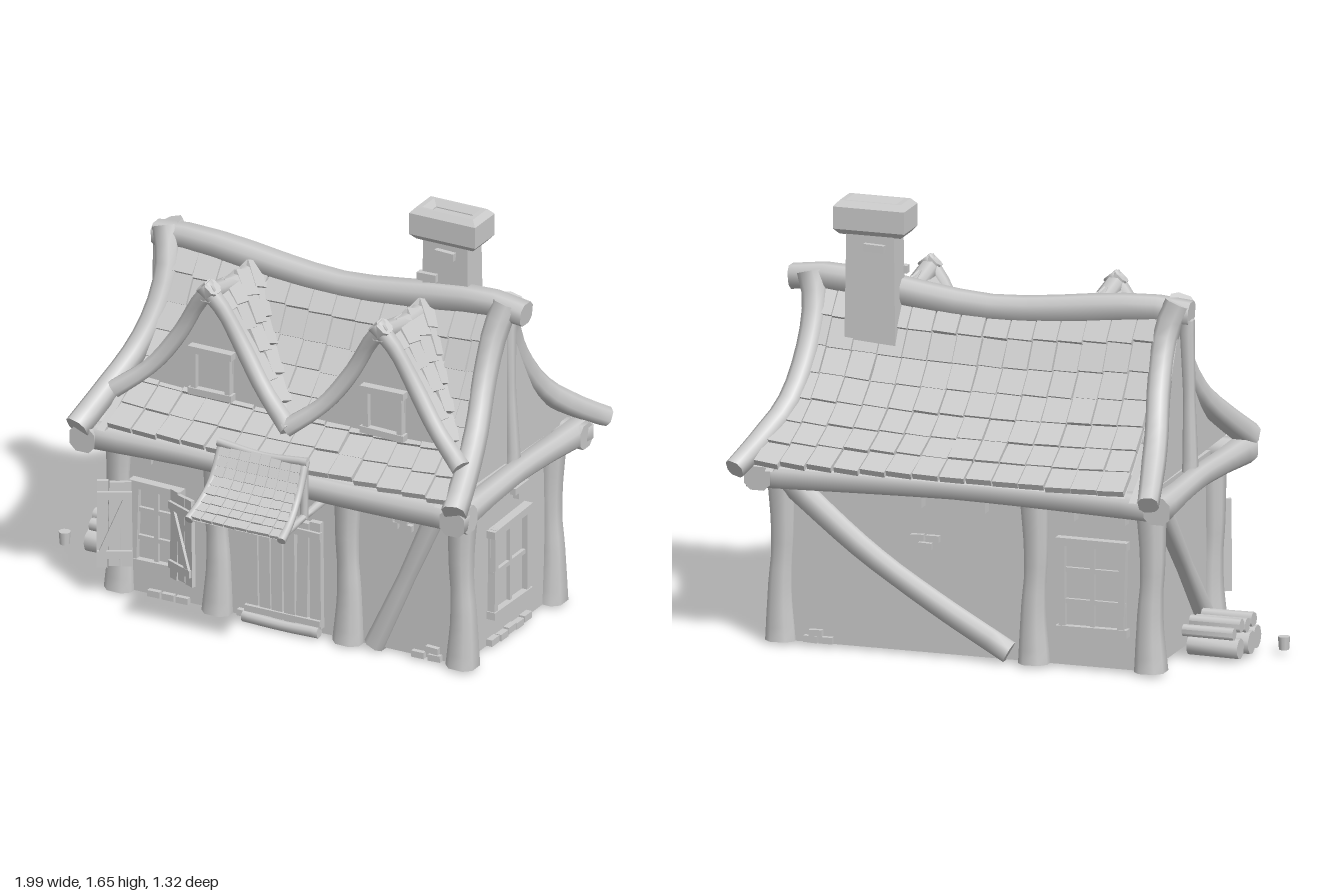
import * as THREE from 'three';
import { mergeGeometries, toCreasedNormals } from 'three/addons/utils/BufferGeometryUtils.js';
import { ParametricGeometry } from 'three/addons/geometries/ParametricGeometry.js';

const V = (x, y, z) => new THREE.Vector3(x, y, z);
const mat = new THREE.MeshStandardMaterial({ color: 0xcccccc });
const thin = new THREE.MeshStandardMaterial({ color: 0xcccccc, side: THREE.DoubleSide });
let seed = 7;
const rnd = () => (seed = (seed * 16807) % 2147483647) / 2147483647;
const jit = a => (rnd() - 0.5) * 2 * a;

function add(parent, name, geo, material = mat) {
  const m = new THREE.Mesh(geo, material);
  m.name = name;
  parent.add(m);
  return m;
}
function box(parent, name, w, h, d, x, y, z, rz = 0) {
  const m = add(parent, name, new THREE.BoxGeometry(w, h, d));
  m.position.set(x, y, z);
  m.rotation.z = rz;
  return m;
}

// Crooked timber: a capped, rounded-square tube through points with varying radius
function beam(parent, name, pts, radii) {
  const curve = new THREE.CatmullRomCurve3(pts.map(p => V(...p)));
  const n = pts.length > 2 ? 12 : 4, sides = 8, pos = [], idx = [];
  const chord = curve.getPoint(1).sub(curve.getPoint(0)).toArray().map(Math.abs);
  const ref = V(0, 0, 0).setComponent(chord.indexOf(Math.min(...chord)), 1);
  for (let i = 0; i <= n; i++) {
    const p = curve.getPointAt(i / n), k = (i / n) * (radii.length - 1), a = Math.floor(k);
    const r = 1.04 * THREE.MathUtils.lerp(radii[a], radii[Math.min(a + 1, radii.length - 1)], k - a);
    const T = curve.getTangentAt(i / n);
    const N = ref.clone().addScaledVector(T, -T.dot(ref)).normalize(), B = T.clone().cross(N);
    for (let j = 0; j < sides; j++) {
      const t = (j >> 1) * Math.PI / 2 + (j % 2 ? 0.48 : -0.48);
      const q = p.clone().addScaledVector(N, r * Math.cos(t)).addScaledVector(B, r * Math.sin(t));
      pos.push(q.x, q.y, q.z);
      const b = i * sides + j, c = i * sides + (j + 1) % sides;
      if (i < n) idx.push(b, c, c + sides, b, c + sides, b + sides);
    }
  }
  const e = n * sides;
  for (let j = 1; j < sides - 1; j++) idx.push(0, j + 1, j, e, e + j, e + j + 1);
  const g = new THREE.BufferGeometry();
  g.setAttribute('position', new THREE.Float32BufferAttribute(pos, 3));
  g.setIndex(idx);
  return add(parent, name, toCreasedNormals(g, 0.9));
}

// Roof sheet with rows of loose shingles; surf(u across, v downhill)
function tiledRoof(parent, name, surf, rows, colsAt, thick) {
  add(parent, name + 'Deck', new ParametricGeometry((u, v, t) => t.copy(surf(u, v)), 12, 12), thin);
  const tiles = [];
  for (let r = 0; r < rows; r++) {
    const cols = colsAt((r + 0.5) / rows);
    for (let c = 0; c < cols; c++) {
      const u = (c + 0.5) / cols, v = (r + 0.5) / rows, du = 0.5 / cols, dv = 0.5 / rows;
      const x = surf(u + du, v).sub(surf(u - du, v)), z = surf(u, v + dv).sub(surf(u, v - dv));
      const w = x.length(), l = z.length();
      x.normalize(); z.normalize();
      const y = z.clone().cross(x).normalize();
      if (y.y < 0) { y.negate(); x.negate(); }
      z.addScaledVector(y, (thick * 0.4) / l).addScaledVector(x, jit(0.02)).normalize();
      x.crossVectors(y, z).normalize(); y.crossVectors(z, x);
      const g = new THREE.BoxGeometry(w * (0.95 + jit(0.03)), thick, l * (1.02 + jit(0.04)));
      const p = surf(u, v).addScaledVector(y, thick * 0.55 + jit(thick * 0.15));
      tiles.push(g.applyMatrix4(new THREE.Matrix4().makeBasis(x, y, z).setPosition(p)));
    }
  }
  add(parent, name + 'Shingles', mergeGeometries(tiles));
}

// Crooked window facing +z, centred on its group
function windowUnit(parent, name, w, h, x, y, z, ry, rows = 2, t = 0.025) {
  const g = new THREE.Group();
  g.name = name;
  g.position.set(x, y, z);
  g.rotation.y = ry;
  parent.add(g);
  box(g, 'pane', w, h, 0.012, 0, 0, 0);
  for (const s of [-1, 1]) {
    box(g, 'frameSide', t, h, 0.04, s * (w - t) / 2, 0, 0.008, jit(0.03));
    box(g, 'frameRail', w + 0.02, t * 1.2, 0.05, 0, s * (h - t) / 2, 0.008, jit(0.03));
  }
  if (rows) box(g, 'mullion', t * 0.7, h, 0.02, 0, 0, 0.01);
  for (let i = 1; i < rows; i++) box(g, 'glazingBar', w, t * 0.7, 0.02, 0, h * (i / rows - 0.5), 0.01);
}

function shutter(parent, x, z, ry, dir) {
  const g = new THREE.Group();
  g.name = 'shutter';
  g.position.set(x, 0.305, z);
  g.rotation.y = ry;
  parent.add(g);
  for (let i = 0; i < 3; i++) box(g, 'shutterPlank', 0.042, 0.35 + jit(0.012), 0.016, dir * (0.023 + i * 0.045), 0, 0, jit(0.02));
  for (const y of [-0.12, 0.12]) box(g, 'shutterRail', 0.13, 0.03, 0.014, dir * 0.068, y, 0.013);
  box(g, 'shutterBrace', 0.024, 0.26, 0.012, dir * 0.068, 0, 0.013, dir * 0.4);
}

const frontPts = [[-0.1, 1.29], [-0.06, 1.24], [0.026, 1.07], [0.136, 0.925], [0.27, 0.815], [0.42, 0.73]];
const backPts = [[-0.11, 1.29], [-0.145, 1.24], [-0.236, 1.05], [-0.37, 0.88], [-0.5, 0.78], [-0.61, 0.71]];

function roofSurface(pts) {
  const curve = new THREE.CatmullRomCurve3(pts.map(([z, y]) => V(0, y, z)));
  return (u, v) => {
    const p = curve.getPointAt(Math.min(1, Math.max(0, v))), k = u * 2 - 1;
    p.x = 0.135 + 0.025 * v + k * (0.69 + 0.04 * v * v);
    p.y -= 0.05 * (1 - k * k) * (1 - v);
    return p;
  };
}
// Depth of the front slope at a given height
function slopeZ(y) {
  for (let i = 1; i < frontPts.length; i++) {
    const [z0, y0] = frontPts[i - 1], [z1, y1] = frontPts[i];
    if (y >= y1) return z0 + (z1 - z0) * Math.max(0, (y0 - y) / (y0 - y1));
  }
  return 0.43;
}

function dormer(parent, cx) {
  const g = new THREE.Group();
  g.name = 'dormer';
  g.position.x = cx;
  parent.add(g);
  const prof = [[0, 1.29], [0.05, 1.22], [0.13, 1.08], [0.24, 0.93], [0.36, 0.82]];
  const shape = new THREE.Shape([...prof, ...prof.slice(1).reverse().map(([x, y]) => [-x, y])].map(p => new THREE.Vector2(...p)));
  add(g, 'dormerWall', new THREE.ExtrudeGeometry(shape, { depth: 0.04, bevelEnabled: false })).position.z = 0.19;
  const curve = new THREE.CatmullRomCurve3(prof.map(([x, y]) => V(x, y, 0)));
  for (const s of [-1, 1]) {
    const surf = (u, v) => {
      const p = curve.getPointAt(Math.min(1, Math.max(0, v)));
      p.x *= s;
      p.z = THREE.MathUtils.lerp(0.25, Math.min(0.24, slopeZ(p.y) - 0.02), u);
      return p;
    };
    tiledRoof(g, 'dormerRoof', surf, 6, v => Math.floor(surf(0, v).distanceTo(surf(1, v)) / 0.07), 0.018);
    beam(g, 'dormerBarge', [[-s * 0.02, 1.325, 0.265], [s * 0.05, 1.24, 0.25], [s * 0.13, 1.1, 0.24], [s * 0.24, 0.95, 0.265], [s * 0.37, 0.845, 0.315]], [0.034, 0.029, 0.032, 0.032, 0.036]);
  }
  beam(g, 'dormerRidge', [[0, 1.26, -0.09], [0, 1.265, 0.1], [0, 1.3, 0.28]], [0.034, 0.034, 0.036]);
  windowUnit(g, 'dormerWindow', 0.165, 0.19, 0.005, 0.965, 0.232, 0, 0, 0.022);
}

export function createModel() {
  seed = 7;
  const house = new THREE.Group();
  house.name = 'cottage';

  // Walls and gable ends
  box(house, 'walls', 1.44, 0.68, 0.69, 0.115, 0.35, -0.095);
  const outline = [...frontPts.slice().reverse(), ...backPts].map(([z, y]) => new THREE.Vector2(-z, y - 0.015));
  for (const x of [-0.615, 0.815]) {
    const g = new THREE.ExtrudeGeometry(new THREE.Shape(outline), { depth: 0.03, bevelEnabled: false });
    add(house, 'gableWall', g.rotateY(Math.PI / 2)).position.x = x;
  }

  // Main roof
  tiledRoof(house, 'frontRoof', roofSurface(frontPts), 7, () => 14, 0.024);
  tiledRoof(house, 'backRoof', roofSurface(backPts), 7, () => 14, 0.024);
  beam(house, 'ridgeBeam', [[-0.655, 1.305, -0.105], [-0.5, 1.315, -0.108], [0.13, 1.262, -0.11], [0.76, 1.33, -0.108], [0.915, 1.315, -0.105]], [0.048, 0.055, 0.05, 0.055, 0.048]);
  for (const [top, mid, low, front, back] of [[-0.61, -0.575, -0.61, -0.695, -0.67], [0.835, 0.81, 0.84, 0.905, 0.955]]) {
    beam(house, 'bargeBeam', [[top, 1.345, -0.095], [mid, 1.24, -0.055], [mid, 1.08, 0.025], [low, 0.93, 0.136], [(low + front) / 2, 0.82, 0.27], [front, 0.712, 0.43]], [0.05, 0.045, 0.043, 0.046, 0.048]);
    beam(house, 'bargeBeam', [[top, 1.345, -0.125], [mid, 1.25, -0.145], [mid, 1.065, -0.236], [low, 0.89, -0.37], [(low + back) / 2, 0.785, -0.5], [back, 0.7, -0.635]], [0.05, 0.045, 0.043, 0.045, 0.04]);
  }
  // Eave and tie beams
  beam(house, 'frontEaveBeam', [[-0.67, 0.665, 0.365], [-0.2, 0.672, 0.36], [0.3, 0.655, 0.36], [0.94, 0.668, 0.365]], [0.052, 0.045, 0.05, 0.054]);
  beam(house, 'backEaveBeam', [[-0.67, 0.66, -0.52], [0.1, 0.67, -0.51], [0.94, 0.66, -0.52]], [0.052, 0.045, 0.052]);
  for (const x of [-0.68, 0.89]) {
    beam(house, 'tieBeam', [[x, 0.662, 0.42], [x, 0.672, 0.15], [x, 0.68, -0.1], [x, 0.67, -0.35], [x, 0.66, -0.57]], [0.056, 0.045, 0.042, 0.045, 0.056]);
    beam(house, 'kingPost', [[x * 0.96, 0.7, -0.11], [x * 0.95, 1.0, -0.105], [x * 0.94, 1.28, -0.11]], [0.03, 0.022, 0.028]);
  }
  dormer(house, -0.23);
  dormer(house, 0.5);

  // Posts and diagonal braces
  for (const [x, z] of [[-0.61, 0.245], [0.84, 0.245], [-0.61, -0.428], [0.84, -0.428], [-0.19, 0.255], [0.365, 0.255], [-0.16, -0.445]])
    beam(house, 'post', [[x, 0.01, z], [x + 0.004, 0.2, z], [x - 0.006, 0.42, z], [x, 0.65, z]], [0.062, 0.05, 0.043, 0.048, 0.056]);
  beam(house, 'frontBrace', [[0.47, 0.015, 0.245], [0.6, 0.3, 0.25], [0.74, 0.62, 0.245]], [0.042, 0.035, 0.042]);
  beam(house, 'backBrace', [[0.8, 0.62, -0.44], [0.5, 0.38, -0.445], [0.22, 0.2, -0.445], [-0.06, 0.04, -0.44]], [0.05, 0.042, 0.045]);
  beam(house, 'leftBrace', [[-0.615, 0.62, -0.36], [-0.62, 0.34, -0.1], [-0.615, 0.05, 0.17]], [0.045, 0.035, 0.045]);

  // Windows, shutters and door
  windowUnit(house, 'frontWindow', 0.2, 0.34, -0.445, 0.3, 0.255, 0, 3);
  windowUnit(house, 'rightWindow', 0.27, 0.36, 0.838, 0.3, -0.09, Math.PI / 2);
  windowUnit(house, 'backWindow', 0.26, 0.36, -0.39, 0.32, -0.443, Math.PI, 3);
  shutter(house, -0.53, 0.3, 0.5, -1);
  shutter(house, -0.365, 0.3, -0.42, 1);
  for (let i = 0; i < 6; i++) box(house, 'doorPlank', 0.046, 0.43 + jit(0.02), 0.03, -0.04 + i * 0.054, 0.25, 0.262 + jit(0.005), jit(0.02));
  for (const y of [0.06, 0.42]) box(house, 'doorRail', 0.32, 0.025, 0.02, 0.095, y, 0.278, jit(0.02));
  beam(house, 'doorStep', [[-0.07, 0.025, 0.28], [0.1, 0.022, 0.285], [0.25, 0.025, 0.28]], [0.022, 0.02, 0.022]);

  // Canopy over the door
  const drop = new THREE.CatmullRomCurve3([V(0, 0.78, 0.44), V(0, 0.665, 0.5), V(0, 0.6, 0.57), V(0, 0.555, 0.65)]);
  const canopy = (u, v) => {
    const p = drop.getPointAt(Math.min(1, Math.max(0, v)));
    p.x = 0.1 + (u - 0.5) * (0.34 + 0.05 * v);
    return p;
  };
  tiledRoof(house, 'canopy', canopy, 8, () => 8, 0.013);
  beam(house, 'canopyTopBar', [[-0.09, 0.79, 0.44], [0.1, 0.775, 0.44], [0.29, 0.79, 0.44]], [0.016, 0.014, 0.016]);
  for (const s of [-1, 1]) {
    const x = 0.1 + s * 0.175;
    beam(house, 'canopyRafter', [[x, 0.79, 0.43], [x + s * 0.006, 0.665, 0.5], [x + s * 0.014, 0.6, 0.57], [x + s * 0.022, 0.555, 0.655]], [0.017, 0.014, 0.017]);
    beam(house, 'canopyArm', [[x, 0.575, 0.25], [x, 0.565, 0.45], [x + s * 0.01, 0.56, 0.64]], [0.017, 0.014, 0.016]);
    beam(house, 'canopyStrut', [[x, 0.56, 0.44], [x, 0.78, 0.44]], [0.015, 0.015]);
  }

  // Chimney with hollow chamfered cap
  const shaft = add(house, 'chimneyShaft', new THREE.CylinderGeometry(0.66, 0.72, 0.57, 4).rotateY(Math.PI / 4).toNonIndexed());
  shaft.geometry.computeVertexNormals();
  shaft.scale.set(0.2, 1, 0.115);
  shaft.position.set(0.57, 1.275, -0.16);
  const rect = (P, w, h) => new P([[-w, -h], [w, -h], [w, h], [-w, h]].map(p => new THREE.Vector2(...p)));
  const capShape = rect(THREE.Shape, 0.12, 0.055);
  capShape.holes.push(rect(THREE.Path, 0.1, 0.045));
  const cap = new THREE.ExtrudeGeometry(capShape, { depth: 0.085, bevelThickness: 0.022, bevelSize: 0.02, bevelSegments: 1 });
  add(house, 'chimneyCap', cap.rotateX(-Math.PI / 2)).position.set(0.57, 1.544, -0.157);
  box(house, 'chimneyFlue', 0.21, 0.1, 0.1, 0.57, 1.575, -0.157);
  for (const [x, y, z] of [[0.575, 1.485, -0.1], [0.55, 1.48, -0.22], [0.5, 1.38, -0.1]]) box(house, 'chimneyBrick', 0.08, 0.03, 0.03, x, y, z, jit(0.06));

  // Exposed bricks and foundation stones
  for (const [x, y] of [[0.53, 0.55], [0.59, 0.55], [0.55, 0.525], [0.61, 0.525], [-0.08, 0.025], [-0.02, 0.02], [0.66, 0.02], [0.73, 0.02], [0.72, 0.05], [-0.46, 0.02], [-0.4, 0.02], [-0.34, 0.02]])
    box(house, 'frontBrick', 0.052, 0.025, 0.03, x, y, 0.255, jit(0.05));
  for (const [x, y] of [[0.3, 0.45], [0.24, 0.45], [0.27, 0.42], [0.66, 0.025], [0.72, 0.025], [0.7, 0.05]])
    box(house, 'backBrick', 0.052, 0.025, 0.03, x, y, -0.445, jit(0.05));
  for (const [z, y] of [[-0.15, 0.57], [-0.2, 0.57], [-0.175, 0.545], [0.03, 0.025], [-0.04, 0.02], [-0.1, 0.025], [-0.16, 0.02], [-0.22, 0.025]])
    box(house, 'rightBrick', 0.04, 0.026, 0.055, 0.84, y, z);
  for (const x of [-0.5, 0.46]) box(house, 'joistEnd', 0.055, 0.055, 0.03, x, 0.57, 0.25);
  for (const x of [-0.5, -0.3, 0.05, 0.3]) box(house, 'joistEnd', 0.055, 0.055, 0.07, x, 0.6, -0.45);

  // Log pile and small pot
  for (const [z, y, r, x] of [[0.02, 0.055, 0.045, -0.77], [-0.07, 0.055, 0.045, -0.78], [-0.155, 0.05, 0.04, -0.765], [0.02, 0.12, 0.025, -0.76], [-0.035, 0.135, 0.028, -0.775], [-0.09, 0.125, 0.028, -0.77], [-0.14, 0.135, 0.027, -0.765], [-0.18, 0.11, 0.024, -0.75]]) {
    const log = add(house, 'log', toCreasedNormals(new THREE.CylinderGeometry(r, r * 0.94, 0.2, 9), 0.8));
    log.rotation.z = Math.PI / 2;
    log.position.set(x, y, z);
  }
  add(house, 'pot', new THREE.CylinderGeometry(0.023, 0.019, 0.05, 10)).position.set(-0.975, 0.04, 0.02);
  return house;
}
